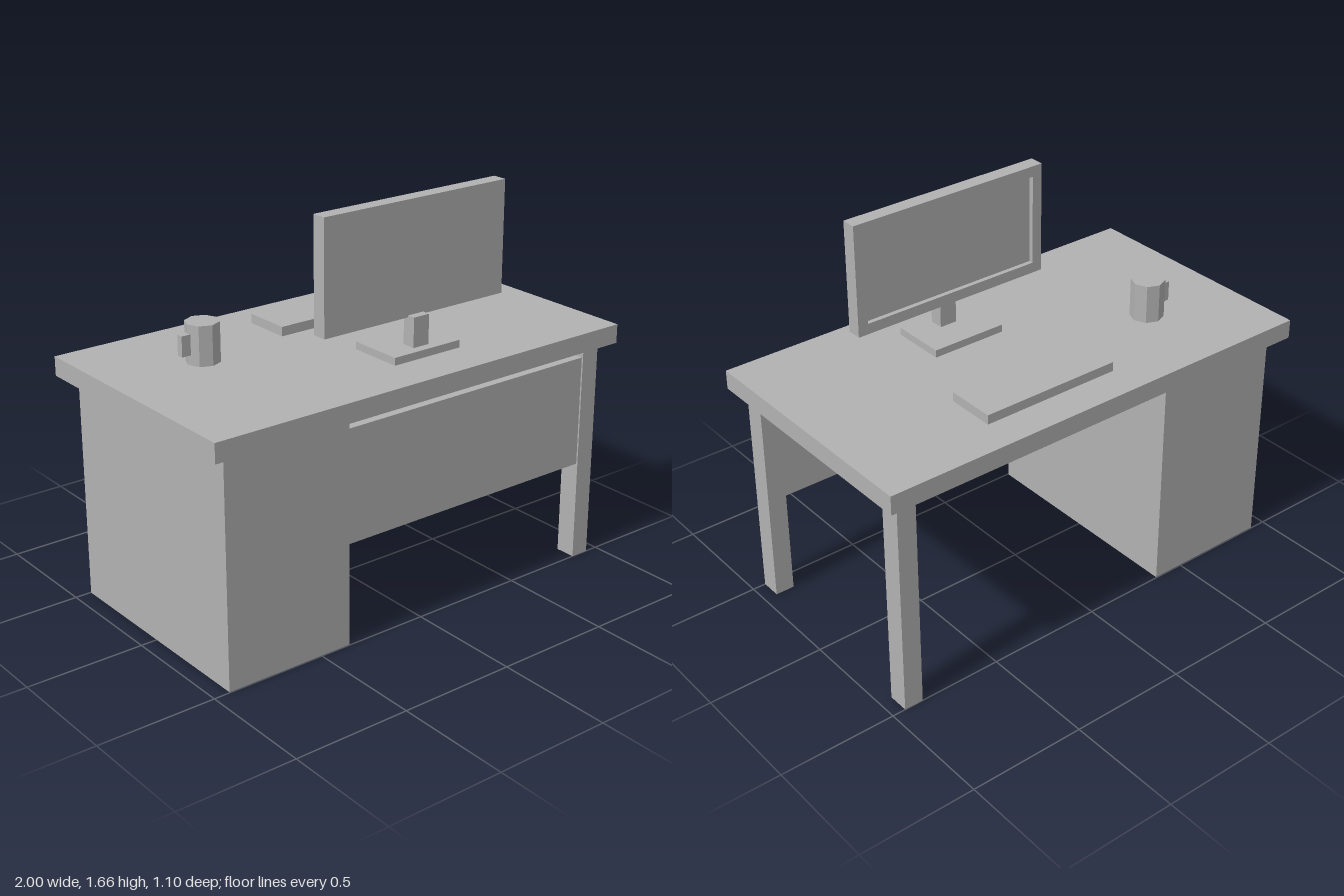
import * as THREE from 'three';

export function createModel() {
  const desk = new THREE.Group();
  desk.name = 'deskWithComputer';
  const grey = new THREE.MeshStandardMaterial({ color: 0xb2b2b2 });
  grey.name = 'plain grey';

  const add = (name, geometry) => {
    const mesh = new THREE.Mesh(geometry, grey);
    mesh.name = name;
    desk.add(mesh);
    return mesh;
  };
  // Box given by its extents along each axis
  const box = (name, [x0, x1], [y0, y1], [z0, z1]) =>
    add(name, new THREE.BoxGeometry(x1 - x0, y1 - y0, z1 - z0))
      .position.set((x0 + x1) / 2, (y0 + y1) / 2, (z0 + z1) / 2);

  const under = 0.957, top = 1.038;

  // Desk
  box('desktop', [-1, 1], [under, top], [-0.55, 0.55]);
  box('cabinet', [-0.93, -0.363], [0, under], [-0.497, 0.497]);
  box('frontLeg', [0.86, 0.943], [0, under], [0.41, 0.5]);
  box('backLeg', [0.86, 0.943], [0, under], [-0.5, -0.41]);
  box('modestyPanel', [-0.363, 0.86], [0.432, 0.908], [0.45, 0.493]);

  // Monitor stand
  box('monitorBase', [-0.028, 0.305], [top, 1.07], [0.117, 0.355]);
  box('monitorNeck', [0.1, 0.177], [1.07, 1.195], [0.255, 0.315]);

  // Monitor: bezel around a recessed screen that faces the back
  const x0 = -0.312, x1 = 0.595, y0 = 1.187, y1 = 1.66, rim = 0.045;
  const rectangle = (Type, inset) => new Type([
    new THREE.Vector2(x0 + inset, y0 + inset),
    new THREE.Vector2(x1 - inset, y0 + inset),
    new THREE.Vector2(x1 - inset, y1 - inset),
    new THREE.Vector2(x0 + inset, y1 - inset),
  ]);
  const bezel = rectangle(THREE.Shape, 0);
  bezel.holes.push(rectangle(THREE.Path, rim));
  add('monitorBezel', new THREE.ExtrudeGeometry(bezel, { depth: 0.02, bevelEnabled: false }))
    .position.z = 0.217;
  box('monitorBody', [x0, x1], [y0, y1], [0.237, 0.28]);

  // Keyboard
  box('keyboard', [-0.167, 0.45], [top, 1.078], [-0.397, -0.185]);

  // Mug
  const mug = new THREE.CylinderGeometry(0.07, 0.07, 0.165, 8).toNonIndexed();
  mug.computeVertexNormals();
  add('mug', mug).position.set(-0.575, top + 0.0825, -0.147);
  box('mugHandle', [-0.68, -0.64], [1.08, 1.165], [-0.162, -0.132]);

  return desk;
}
